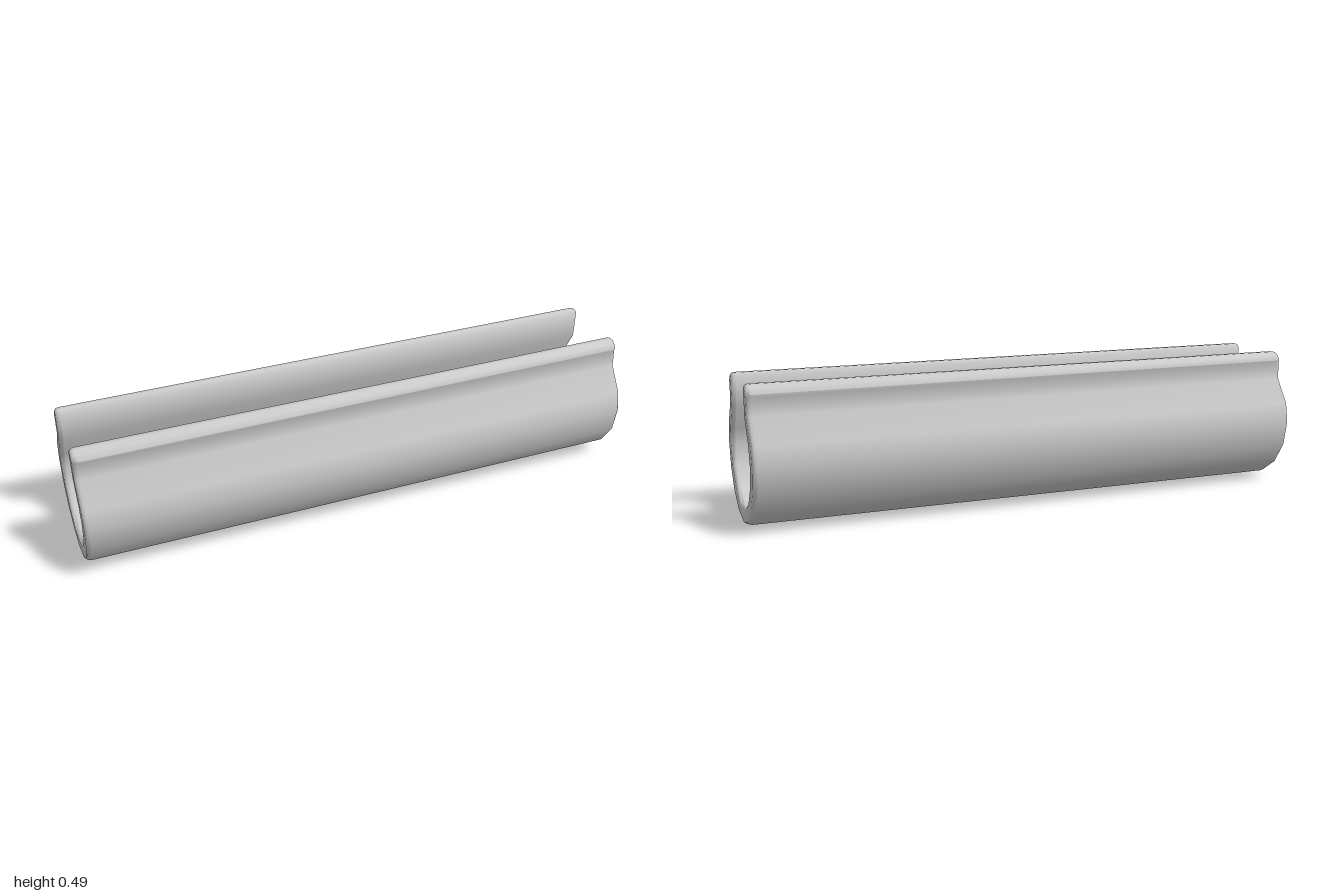
import * as THREE from 'three';
import { toCreasedNormals } from 'three/addons/utils/BufferGeometryUtils.js';

// Half of the clip's cross-section: outer wall upward, rounded lip, inner wall downward
const halfProfile = [
  [0, 0.001], [0.09, 0.02], [0.166, 0.07], [0.217, 0.146], [0.235, 0.237], [0.222, 0.309],
  [0.165, 0.393], [0.162, 0.452], [0.168, 0.463], [0.155, 0.482], [0.139, 0.493], [0.122, 0.493],
  [0.11, 0.481], [0.113, 0.38], [0.162, 0.292], [0.172, 0.237], [0.157, 0.165], [0.107, 0.1],
  [0.046, 0.07], [0, 0.064],
];

export function createModel() {
  const group = new THREE.Group();
  group.name = 'openClipTube';

  // Mirror the half across the centre plane to close the section
  const mirrored = halfProfile.slice(1, -1).reverse().map(([u, y]) => [-u, y]);
  const shape = new THREE.Shape([...halfProfile, ...mirrored].map(([u, y]) => new THREE.Vector2(u, y)));

  // Long channel with softly rounded ends, running along x
  const bevel = 0.016;
  const extruded = new THREE.ExtrudeGeometry(shape, {
    depth: 2 - 2 * bevel,
    bevelEnabled: true,
    bevelThickness: bevel,
    bevelSize: 0.012,
    bevelOffset: -0.012,
    bevelSegments: 3,
  });
  extruded.translate(0, 0, bevel - 1);
  extruded.rotateY(Math.PI / 2);
  extruded.deleteAttribute('uv');

  const channel = new THREE.Mesh(
    toCreasedNormals(extruded, 1.1),
    new THREE.MeshStandardMaterial({ color: 0xcccccc }),
  );
  channel.name = 'channel';
  group.add(channel);
  return group;
}
